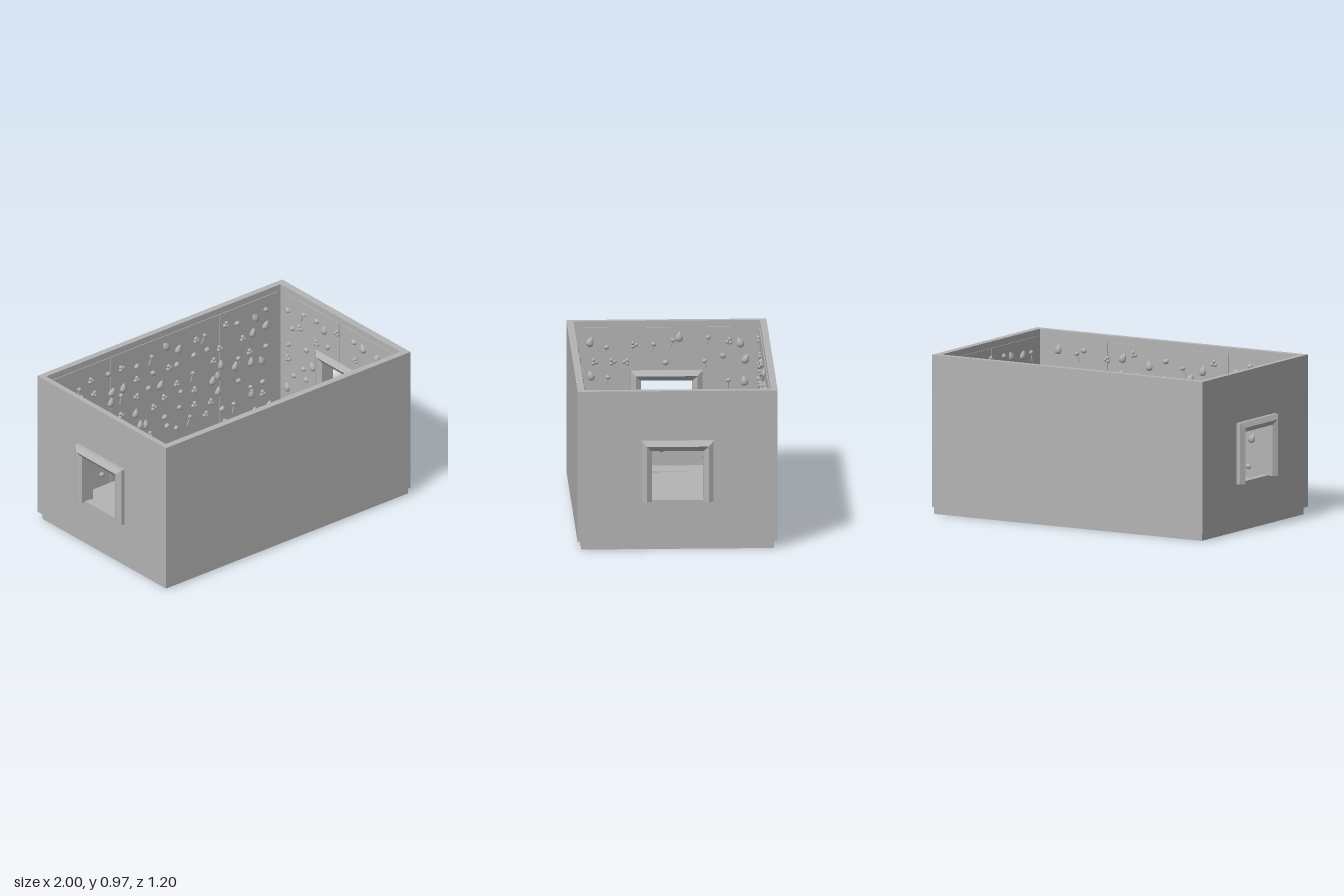
import * as THREE from 'three';
import { mergeGeometries } from 'three/addons/utils/BufferGeometryUtils.js';

const grey = new THREE.MeshStandardMaterial({ color: 0xb4b4b4 });
grey.name = 'stone grey';

function add(parent, name, geometry) {
  const mesh = new THREE.Mesh(geometry, grey);
  mesh.name = name;
  parent.add(mesh);
  return mesh;
}

// Box given by its lower and upper corners
function block(parent, name, [x0, y0, z0], [x1, y1, z1]) {
  const m = add(parent, name, new THREE.BoxGeometry(x1 - x0, y1 - y0, z1 - z0));
  m.position.set((x0 + x1) / 2, (y0 + y1) / 2, (z0 + z1) / 2);
  return m;
}

function polygon(points) {
  return new THREE.Shape(points.map(([x, y]) => new THREE.Vector2(x, y)));
}

// Ridged door-style surround: a hexagonal section mitred around an upside-down U
function frameGeometry() {
  const section = [[-0.03, 0.98], [0, 1], [0.03, 0.98], [0.03, 0.895], [0, 0.875], [-0.03, 0.895]];
  const path = [ // z, y, outward z, outward y
    [-0.185, 0.295, -1, 0], [-0.185, 0.637, -1, 1], [0.185, 0.637, 1, 1], [0.185, 0.295, 1, 0],
  ];
  const rings = path.map(([z, y, dz, dy]) => section.map(([w, x]) => [x, y + w * dy, z + w * dz]));
  const out = [];
  const tri = (a, b, c) => out.push(...a, ...b, ...c);
  const n = section.length;
  for (let i = 0; i < rings.length - 1; i++) {
    for (let j = 0; j < n; j++) {
      const k = (j + 1) % n, r = rings[i], s = rings[i + 1];
      tri(r[j], r[k], s[k]);
      tri(r[j], s[k], s[j]);
    }
  }
  for (let j = 1; j < n - 1; j++) {
    tri(rings[0][0], rings[0][j + 1], rings[0][j]);
    tri(rings[3][0], rings[3][j], rings[3][j + 1]);
  }
  const g = new THREE.BufferGeometry();
  g.setAttribute('position', new THREE.Float32BufferAttribute(out, 3));
  g.computeVertexNormals();
  return g;
}

function seeded(seed) {
  let s = seed;
  return () => (s = (s * 16807) % 2147483647) / 2147483647;
}

// Relief ornaments, built around the origin on a wall facing +z
function egg() {
  const profile = [[0, -0.028], [0.016, -0.022], [0.024, -0.008], [0.02, 0.01], [0.01, 0.027], [0, 0.036]];
  const g = new THREE.LatheGeometry(profile.map(([x, y]) => new THREE.Vector2(x, y)), 10);
  return g.scale(1, 1, 0.75);
}
function clover() {
  return mergeGeometries([0, 1, 2].map((i) => {
    const a = Math.PI / 2 + i * Math.PI * 2 / 3;
    return new THREE.SphereGeometry(0.012, 8, 6).translate(0.012 * Math.cos(a), 0.012 * Math.sin(a), 0.004);
  }));
}
function stalkedBud() {
  return mergeGeometries([
    new THREE.SphereGeometry(0.016, 8, 6).scale(1, 0.8, 1),
    new THREE.CylinderGeometry(0.004, 0.004, 0.055, 6).translate(0, -0.03, 0.004),
  ]);
}
function bud() {
  return new THREE.SphereGeometry(0.02, 8, 6).scale(1, 0.8, 0.85);
}

// Scatter ornaments over a jittered grid, skipping the window
function ornaments(half, columns, rows, seed, hasWindow) {
  const rnd = seeded(seed), parts = [];
  for (let c = 0; c < columns; c++) {
    for (let r = 0; r < rows; r++) {
      const u = -half + 2 * half * (c + 0.15 + 0.7 * rnd()) / columns;
      const y = 0.12 + 0.77 * (r + 0.15 + 0.7 * rnd()) / rows;
      const pick = rnd(), turn = rnd() - 0.5;
      if (hasWindow && Math.abs(u) < 0.25 && y > 0.25 && y < 0.71) continue;
      const make = pick < 0.28 ? egg : pick < 0.62 ? clover : pick < 0.8 ? stalkedBud : bud;
      parts.push(make().rotateZ(turn * 1.2).translate(u, y, 0.007));
    }
  }
  return mergeGeometries(parts);
}

export function createModel() {
  const model = new THREE.Group();
  model.name = 'planterBox';

  // Base and floor
  block(model, 'plinth', [-0.935, 0, -0.578], [0.955, 0.046, 0.578]);
  block(model, 'floor', [-0.93, 0.046, -0.57], [0.93, 0.08, 0.57]);

  // Thin pads on the floor
  for (const [x0, z0, x1, z1] of [
    [-0.12, -0.4, 0.11, -0.255], [-0.12, 0.255, 0.11, 0.4],
    [-0.88, -0.11, -0.735, 0.11], [0.79, -0.23, 0.91, 0.225],
  ]) block(model, 'floorPad', [x0, 0.08, z0], [x1, 0.084, z1]);

  // Long walls
  block(model, 'backWall', [-0.955, 0.046, -0.6], [0.955, 0.97, -0.56]);
  block(model, 'frontWall', [-0.955, 0.046, 0.558], [0.955, 0.97, 0.6]);

  // End walls with a window each
  const endShape = polygon([[-0.56, 0.046], [0.56, 0.046], [0.56, 0.97], [-0.56, 0.97]]);
  endShape.holes.push(polygon([[-0.165, 0.3], [-0.165, 0.62], [0.165, 0.62], [0.165, 0.3]]));
  for (const [side, x0, depth] of [['right', -0.955, 0.035], ['left', 0.91, 0.045]]) {
    const wall = add(model, side + 'Wall', new THREE.ExtrudeGeometry(endShape, { depth, bevelEnabled: false }));
    wall.rotation.y = Math.PI / 2;
    wall.position.x = x0;
    const frame = add(model, side + 'WindowFrame', frameGeometry());
    if (side === 'right') frame.rotation.y = Math.PI;
  }

  // Inner linings: slim panels carrying the ornaments
  const linings = [
    ['back', 0, 0, -0.56, false], ['front', Math.PI, 0, 0.558, false],
    ['right', Math.PI / 2, -0.92, 0, true], ['left', -Math.PI / 2, 0.91, 0, true],
  ];
  linings.forEach(([name, turn, x, z, isEnd], i) => {
    const lining = new THREE.Group();
    lining.name = name + 'Lining';
    lining.rotation.y = turn;
    lining.position.set(x, 0, z);
    model.add(lining);
    if (isEnd) {
      for (const s of [-1, 1]) {
        const corners = [[0.004, 0.08], [0.52, 0.08], [0.52, 0.93], [0.004, 0.93],
          [0.004, 0.64], [0.18, 0.64], [0.18, 0.3], [0.004, 0.3]];
        const shape = polygon(corners.map(([u, y]) => [u * s, y]));
        add(lining, 'liningPanel', new THREE.ExtrudeGeometry(shape, { depth: 0.005, bevelEnabled: false }));
      }
    } else {
      for (const [u0, u1] of [[-0.88, -0.43], [-0.422, 0.422], [0.43, 0.88]]) {
        block(lining, 'liningPanel', [u0, 0.08, 0], [u1, 0.93, 0.005]);
      }
    }
    add(lining, 'ornaments', isEnd
      ? ornaments(0.51, 9, 7, 91 + i * 977, true)
      : ornaments(0.85, 15, 7, 91 + i * 977, false));
  });

  return model;
}
